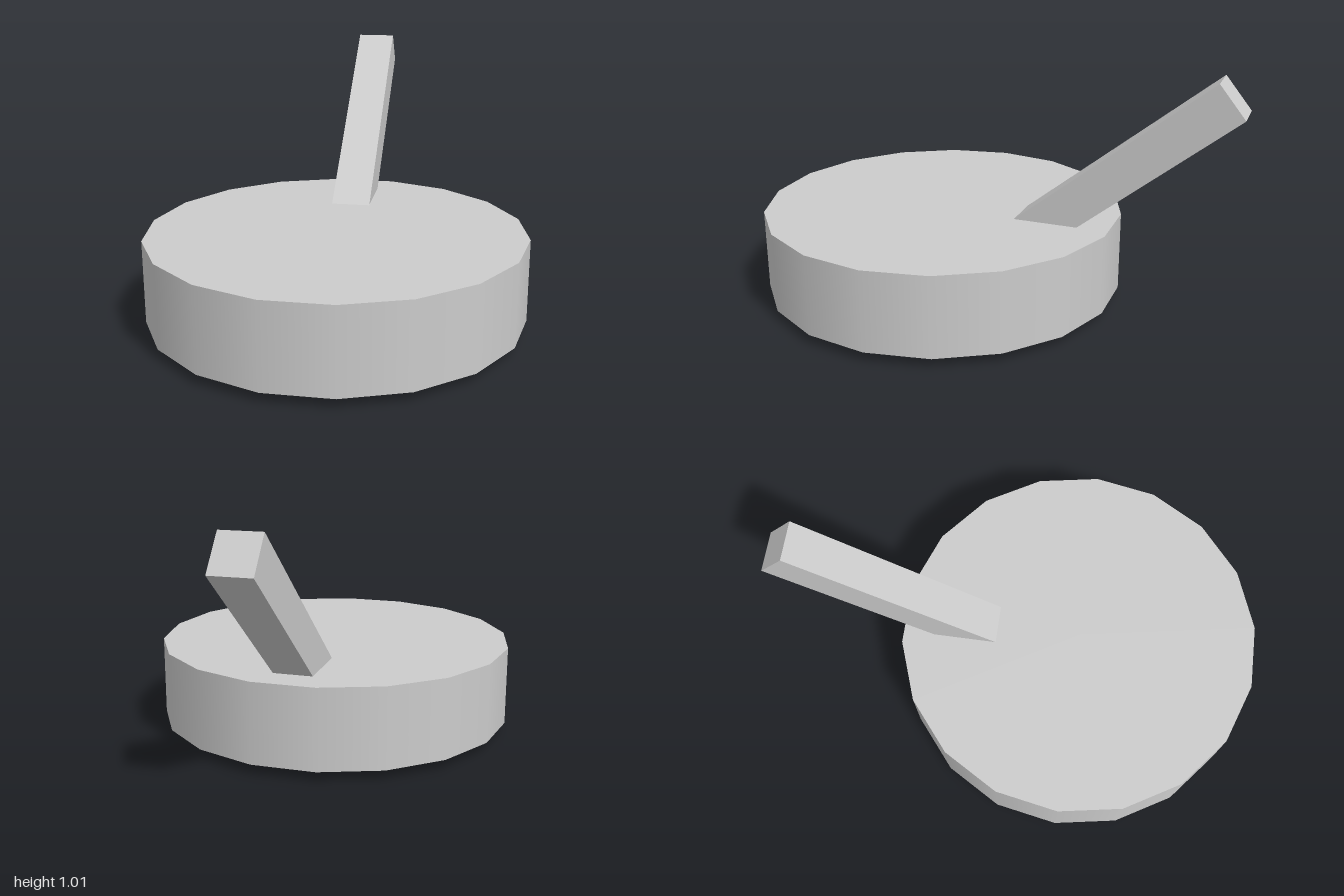
import * as THREE from 'three';

export function createModel() {
  const group = new THREE.Group();
  const material = new THREE.MeshStandardMaterial({ color: 0xcccccc });

  // Adds a named part at the given height and depth on the centre line
  const addPart = (name, geometry, y, z) => {
    const mesh = new THREE.Mesh(geometry, material);
    mesh.name = name;
    mesh.position.set(0, y, z);
    group.add(mesh);
    return mesh;
  };

  // Eighteen-sided drum with corners on the left and right
  const bottom = 0.042, top = 0.378;
  addPart(
    'disc',
    new THREE.CylinderGeometry(0.762, 0.762, top - bottom, 18, 1, false, Math.PI / 2),
    (bottom + top) / 2, 0.25
  );

  // Square bar rising to the back, its lower tip poking through the disc
  const handle = addPart('handle', new THREE.BoxGeometry(0.163, 0.168, 1.41), 0.508, -0.397);
  handle.rotation.x = THREE.MathUtils.degToRad(38.8);

  return group;
}
